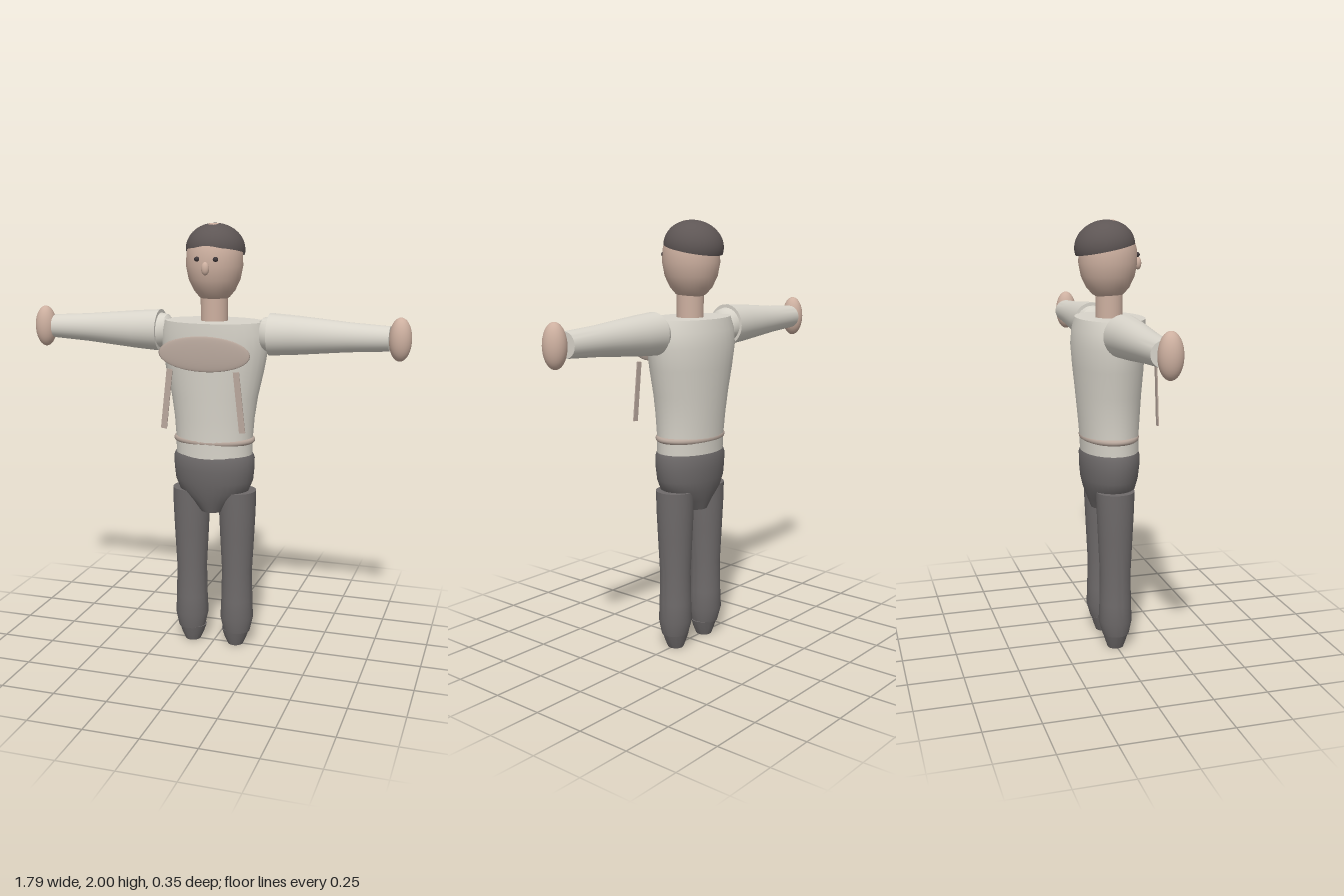
import * as THREE from 'three';
import { toCreasedNormals } from 'three/addons/utils/BufferGeometryUtils.js';

const material = (color) => new THREE.MeshStandardMaterial({ color, side: THREE.DoubleSide });
const SKIN = material(0xcdb0a0), SHIRT = material(0xd8d4ca), TROUSERS = material(0x6e6a6a);
const HAIR = material(0x5e5655), TRIM = material(0xb9a89d), DARK = material(0x40383a);

// Stack of elliptical rings, bottom to top: [y, half width, front z, back z], closed at both ends
function loft(rows, crease = 0.6) {
  const first = rows[0], last = rows[rows.length - 1];
  const mid = (r) => [r[0], 0.0005, (r[2] + r[3]) / 2 + 0.0005, (r[2] + r[3]) / 2 - 0.0005];
  const all = [mid(first), ...rows, mid(last)];
  const geo = new THREE.LatheGeometry(all.map((r) => new THREE.Vector2(1, r[0])), 32);
  const pos = geo.attributes.position;
  for (let i = 0; i < pos.count; i++) {
    const [, w, f, b] = all[i % all.length];
    pos.setX(i, pos.getX(i) * w);
    pos.setZ(i, (f + b) / 2 + pos.getZ(i) * (f - b) / 2);
  }
  return toCreasedNormals(geo, crease);
}

export function createModel() {
  const model = new THREE.Group();
  const add = (name, geo, mat, x = 0, y = 0, z = 0) => {
    const mesh = new THREE.Mesh(geo, mat);
    mesh.name = name;
    mesh.position.set(x, y, z);
    model.add(mesh);
    return mesh;
  };
  const ellipsoid = (name, mat, x, y, z, rx, ry, rz) => {
    const mesh = add(name, new THREE.SphereGeometry(1, 28, 18), mat, x, y, z);
    mesh.scale.set(rx, ry, rz);
    return mesh;
  };

  // Torso with a flat top, and the belt round the waist
  add('torso', loft([
    [0.93, 0.18, 0.13, -0.135], [1.03, 0.183, 0.13, -0.14], [1.12, 0.19, 0.135, -0.148],
    [1.22, 0.205, 0.14, -0.157], [1.34, 0.232, 0.148, -0.168], [1.44, 0.25, 0.152, -0.175],
    [1.51, 0.25, 0.155, -0.168], [1.565, 0.232, 0.155, -0.155],
  ]), SHIRT);
  const belt = add('belt', new THREE.TorusGeometry(0.18, 0.014, 10, 48), TRIM, 0, 1.015, -0.005);
  belt.rotation.x = Math.PI / 2;
  belt.scale.y = 0.7;

  // Chest panel and its hanging straps
  ellipsoid('chestPanel', TRIM, 0, 1.43, 0.155, 0.214, 0.08, 0.009);

  // Pelvis narrowing to the crotch
  add('pelvis', loft([
    [0.672, 0.065, 0.08, -0.09], [0.72, 0.108, 0.1, -0.108], [0.77, 0.165, 0.115, -0.125],
    [0.82, 0.186, 0.127, -0.136], [0.88, 0.192, 0.134, -0.141], [0.93, 0.193, 0.134, -0.141],
    [0.948, 0.186, 0.128, -0.136],
  ]), TROUSERS);

  // Paired limbs
  const armShape = loft([
    [0.2, 0.02, 0.01, -0.03], [0.208, 0.05, 0.04, -0.06], [0.23, 0.074, 0.062, -0.083],
    [0.262, 0.08, 0.07, -0.09], [0.262, 0.096, 0.083, -0.103], [0.38, 0.088, 0.075, -0.095],
    [0.5, 0.077, 0.065, -0.086], [0.62, 0.066, 0.055, -0.077], [0.8, 0.055, 0.045, -0.067],
  ]);
  const legShape = loft([
    [0.07, 0.064, 0.06, -0.065], [0.14, 0.079, 0.074, -0.084], [0.23, 0.075, 0.07, -0.08],
    [0.38, 0.072, 0.068, -0.078], [0.55, 0.081, 0.076, -0.086], [0.68, 0.087, 0.082, -0.092],
    [0.772, 0.088, 0.085, -0.095],
  ]);
  const footShape = loft([
    [0, 0.037, 0.036, -0.04], [0.035, 0.053, 0.048, -0.052], [0.075, 0.067, 0.058, -0.063],
  ]);
  for (const [side, s] of [['left', 1], ['right', -1]]) {
    add(side + 'Arm', armShape, SHIRT, 0, 1.51, 0).rotation.z = -s * Math.PI / 2;
    ellipsoid(side + 'Hand', SKIN, s * 0.845, 1.51, 0, 0.05, 0.096, 0.052);
    add(side + 'Leg', legShape, TROUSERS, s * 0.113, 0, 0);
    add(side + 'Foot', footShape, TROUSERS, s * 0.108, 0, 0);
    add(side + 'Strap', new THREE.BoxGeometry(0.028, 0.275, 0.005), TRIM, s * 0.17, 1.223, 0.173)
      .rotation.z = s * 0.11;
    ellipsoid(side + 'Eye', DARK, s * 0.043, 1.845, 0.118, 0.012, 0.011, 0.01);
  }

  // Neck and head
  add('neck', new THREE.CylinderGeometry(0.062, 0.062, 0.14, 32), SKIN, 0, 1.62, -0.003);
  add('head', loft([
    [1.652, 0.04, 0.035, -0.05], [1.67, 0.068, 0.064, -0.08], [1.7, 0.093, 0.09, -0.107],
    [1.75, 0.117, 0.114, -0.131], [1.81, 0.129, 0.125, -0.142], [1.87, 0.127, 0.123, -0.14],
    [1.92, 0.113, 0.108, -0.126], [1.96, 0.086, 0.08, -0.1], [1.985, 0.054, 0.048, -0.068],
    [1.998, 0.018, 0.02, -0.02],
  ], 1), SKIN);
  ellipsoid('nose', SKIN, 0, 1.805, 0.133, 0.018, 0.029, 0.016);

  // Domed hair, higher at the brow than at the nape
  const hair = add('hair', new THREE.SphereGeometry(1, 36, 16, 0, Math.PI * 2, 0, Math.PI * 0.54), HAIR, 0, 1.883, -0.023);
  hair.scale.set(0.134, 0.115, 0.138);
  hair.rotation.x = -0.2;

  return model;
}
